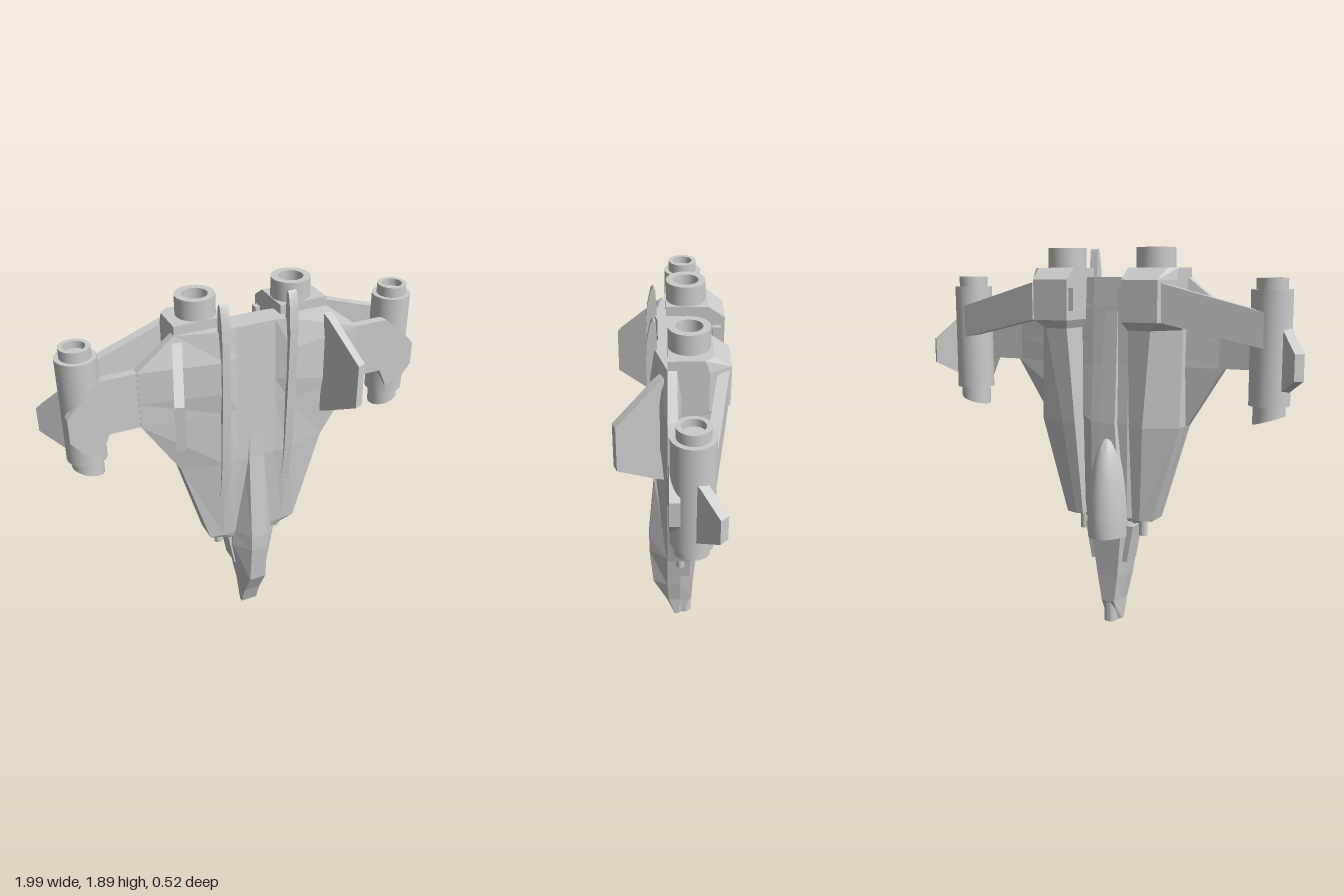
import * as THREE from 'three';
import { toCreasedNormals } from 'three/addons/utils/BufferGeometryUtils.js';

const material = new THREE.MeshStandardMaterial({ color: 0xcccccc });

// Reverse every triangle of a non-indexed geometry
function flip(geo) {
  for (const attr of Object.values(geo.attributes)) {
    const a = attr.array, n = attr.itemSize;
    for (let t = 0; t < a.length; t += 3 * n)
      for (let k = 0; k < n; k++) [a[t + n + k], a[t + 2 * n + k]] = [a[t + 2 * n + k], a[t + n + k]];
  }
  return geo;
}

// Make a closed shape face outward, with sharp edges kept sharp
function solid(geo, crease = 0.6) {
  const g = geo.index ? geo.toNonIndexed() : geo;
  const p = g.attributes.position, [a, b, c] = [0, 1, 2].map(() => new THREE.Vector3());
  let volume = 0;
  for (let i = 0; i < p.count; i += 3) {
    a.fromBufferAttribute(p, i);
    b.fromBufferAttribute(p, i + 1);
    c.fromBufferAttribute(p, i + 2);
    volume += a.dot(b.cross(c));
  }
  if (volume < 0) flip(g);
  return toCreasedNormals(g, crease);
}

function mirrored(geo) {
  const g = geo.clone();
  for (const name of ['position', 'normal']) {
    const arr = g.attributes[name].array;
    for (let i = 0; i < arr.length; i += 3) arr[i] *= -1;
  }
  return flip(g);
}

// Faceted body through rings; each ring is [y, [[x, z], ...]]
function loft(rings) {
  const n = rings[0][1].length, pos = [], idx = [];
  for (const [y, pts] of rings) for (const [x, z] of pts) pos.push(x, y, z);
  for (let r = 0; r < rings.length - 1; r++)
    for (let i = 0; i < n; i++) {
      const a = r * n + i, b = r * n + (i + 1) % n;
      idx.push(a, b, a + n, b, b + n, a + n);
    }
  const top = (rings.length - 1) * n;
  const caps = [[0, false], [top, true]];
  for (const [start, isTop] of caps) {
    const contour = rings[start / n][1].map(([x, z]) => new THREE.Vector2(x, z));
    const ccw = !THREE.ShapeUtils.isClockWise(contour);
    for (const [i, j, k] of THREE.ShapeUtils.triangulateShape(contour, [])) {
      // triangulation follows the winding of the contour
      const area = (contour[j].x - contour[i].x) * (contour[k].y - contour[i].y)
        - (contour[j].y - contour[i].y) * (contour[k].x - contour[i].x);
      if ((area > 0) === ccw === isTop) idx.push(start + i, start + j, start + k);
      else idx.push(start + i, start + k, start + j);
    }
  }
  const g = new THREE.BufferGeometry();
  g.setAttribute('position', new THREE.Float32BufferAttribute(pos, 3));
  g.setIndex(idx);
  return solid(g, 0.02);
}

// Full ring from its +x half, listed front to back
const bothSides = half => [...half, ...half.map(([x, z]) => [-x, z]).reverse()];

// Flat plate drawn in (distance, y), running from (x, z) along (dx, dz)
function plate(points, thickness, x = 0, z = 0, dx = 1, dz = 0) {
  const shape = new THREE.Shape(points.map(([u, y]) => new THREE.Vector2(u, y)));
  const g = new THREE.ExtrudeGeometry(shape, { depth: thickness, bevelEnabled: false });
  return solid(g.translate(0, 0, -thickness / 2).rotateY(Math.atan2(-dz, dx)).translate(x, 0, z));
}

const turned = profile =>
  new THREE.LatheGeometry(profile.map(([r, y]) => new THREE.Vector2(r, y)), 32);

export function createModel() {
  const model = new THREE.Group();
  const add = (name, geo) => {
    const mesh = new THREE.Mesh(geo, material);
    mesh.name = name;
    model.add(mesh);
  };
  const pair = (name, geo) => {
    add(name + 'Left', geo);
    add(name + 'Right', mirrored(geo));
  };

  // Broad hull: y, half width, front centre z, front ridge z, edge z, back centre z
  add('hull', loft([
    [0.52, 0.13, 0.02, 0.02, 0.015, -0.1],
    [0.56, 0.24, 0.03, 0.03, 0.02, -0.1],
    [1.04, 0.385, 0.07, 0.078, 0.025, -0.1],
    [1.33, 0.57, 0.068, 0.085, 0.025, -0.08],
    [1.45, 0.57, 0.066, 0.1, 0.025, -0.075],
    [1.61, 0.57, 0.063, 0.1, 0.025, -0.07],
    [1.755, 0.385, 0.06, 0.08, 0.02, -0.06],
  ].map(([y, w, zc, zr, ze, zb]) => {
    const inner = Math.min(0.1, w * 0.5), ridge = Math.min(0.17, w * 0.75);
    return [y, bothSides([[inner, zc], [ridge, zr], [w, ze], [w, -0.02], [inner, zb]])];
  })));

  // Nose and keel: y, keel half width, side half width, keel z, side z, back z
  add('nose', loft([
    [0, 0.045, 0.045, -0.02, -0.025, -0.06],
    [0.11, 0.045, 0.05, 0.02, 0.01, -0.115],
    [0.25, 0.045, 0.08, 0.095, 0.02, -0.12],
    [0.47, 0.045, 0.115, 0.115, 0.02, -0.135],
    [0.56, 0.045, 0.11, 0.115, 0.02, -0.13],
    [1.04, 0.04, 0.06, 0.075, 0.04, -0.12],
    [1.6, 0.03, 0.05, 0.05, 0.03, -0.07],
  ].map(([y, k, s, zk, zs, zb]) =>
    [y, bothSides([[k, zk], [s, zs], [s, zs * 0.5 + zb * 0.5], [s * 0.7, zb]])])));
  add('noseGun', solid(turned([[0, 0.03], [0.02, 0.03], [0.02, 0], [0.033, 0], [0.033, 0.13], [0, 0.13]])
    .translate(0, 0, -0.08)));
  add('cheekBlock', plate([[-0.1, 0.33], [0.1, 0.33], [0.135, 0.52], [-0.135, 0.52]], 0.11, 0, -0.045));

  // Bubble canopy with a flat lower end
  const canopy = [[0, 0.47], [0.098, 0.47]];
  for (let i = 0; i <= 16; i++) {
    const a = i / 16 * Math.PI / 2;
    canopy.push([0.1 * Math.cos(a), 0.53 + 0.44 * Math.sin(a)]);
  }
  add('canopy', solid(turned(canopy).scale(1, 1, 1.35).translate(0, 0, -0.1)));

  // Engine housings: y, inner x, outer x, chamfer x, chamfer z, back z
  pair('engineHousing', loft([
    [0.56, 0.14, 0.24, 0.18, -0.1, -0.12],
    [1.04, 0.15, 0.38, 0.22, -0.1, -0.18],
    [1.51, 0.165, 0.385, 0.28, -0.08, -0.225],
    [1.55, 0.145, 0.385, 0.33, -0.16, -0.258],
    [1.745, 0.145, 0.385, 0.33, -0.16, -0.258],
    [1.8, 0.145, 0.385, 0.345, -0.14, -0.18],
  ].map(([y, xi, xo, xc, zm, zb]) => [y, [[xi, 0.02], [xo, 0.02], [xo, zm], [xc, zb], [xi, zb]]])));
  pair('engineNozzle', solid(turned([[0, 1.77], [0.094, 1.77], [0.094, 1.895], [0.06, 1.895], [0.06, 1.83], [0, 1.83]])
    .translate(0.242, 0, -0.075)));
  pair('housingVent', solid(new THREE.BoxGeometry(0.04, 0.11, 0.04).translate(0.14, 1.65, -0.22)));
  pair('housingGun', solid(turned([[0, 0.47], [0.022, 0.47], [0.022, 0.6], [0, 0.6]]).translate(0.168, 0, -0.047)));

  // Wing plates reaching across the outer pods
  pair('wing', plate([[0.3, 1.61], [0.72, 1.61], [0.745, 1.6], [0.84, 1.52], [0.905, 1.45], [0.905, 1.33],
    [0.85, 1.26], [0.765, 1.23], [0.72, 1.33], [0.3, 1.33]], 0.045));

  // Outer pods, with the lower end cut at a slant
  const pod = turned([[0, 1.16], [0.055, 1.16], [0.055, 1.11], [0.075, 1.11], [0.075, 1.18], [0.095, 1.18],
    [0.095, 1.705], [0.072, 1.705], [0.072, 1.755], [0.05, 1.755], [0.05, 1.72], [0, 1.72]]);
  const p = pod.attributes.position;
  for (let i = 0; i < p.count; i++)
    if (p.getY(i) < 1.12) p.setY(i, p.getY(i) + 0.3 * p.getX(i));
  pair('pod', solid(pod.translate(0.813, 0, -0.075)));
  pair('podFin', plate([[0, 1.24], [0.02, 1.25], [0.135, 1.31], [0.135, 1.43], [0.02, 1.53], [0, 1.54]],
    0.048, 0.885, -0.1, 0.1, -0.1));
  pair('podStrut', plate([[0, 1.55], [0.49, 1.44], [0.49, 1.6], [0, 1.73]], 0.05, 0.34, -0.222, 0.48, 0.08));

  // Belly fins and long strakes
  pair('bellyFin', plate([[0, 1.2], [0.03, 1.21], [0.225, 1.305], [0.225, 1.53], [0.03, 1.71], [0, 1.73]],
    0.045, 0.38, 0.045, 0.078, 0.205));
  pair('strake', plate([[0, 0.83], [0.055, 0.83], [0.085, 1.04], [0.105, 1.4], [0.115, 1.68], [0.108, 1.8],
    [0.092, 1.88], [0.08, 1.895], [0.07, 1.88], [0.06, 1.7], [0, 1.6]], 0.042, 0.17, 0, 0, 1));

  return model;
}
